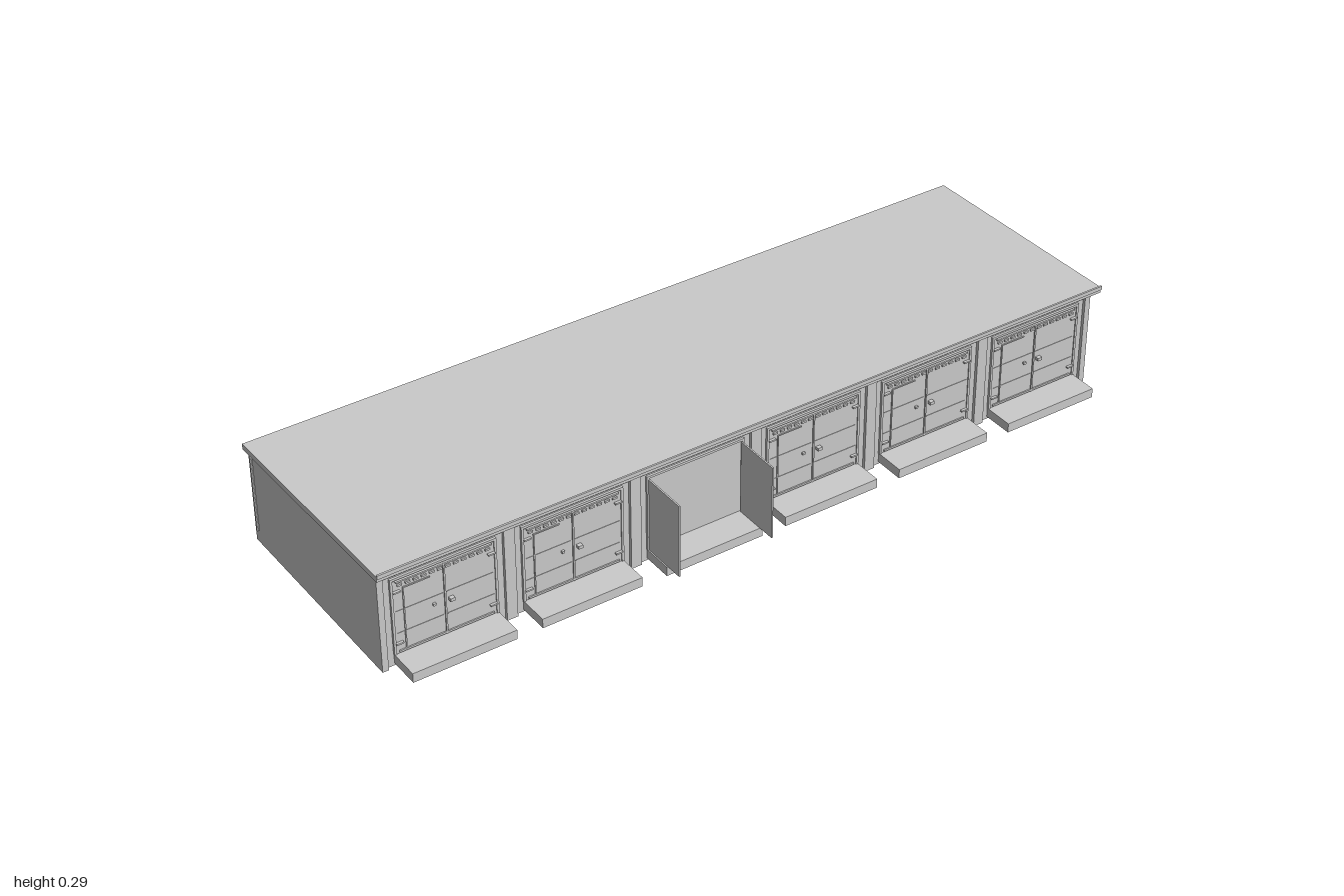
import * as THREE from 'three';

const material = new THREE.MeshStandardMaterial({ color: 0xcccccc, flatShading: true });

// Box given by its limits on each axis
function box(parent, name, x0, x1, y0, y1, z0, z1) {
  const mesh = new THREE.Mesh(new THREE.BoxGeometry(x1 - x0, y1 - y0, z1 - z0), material);
  mesh.position.set((x0 + x1) / 2, (y0 + y1) / 2, (z0 + z1) / 2);
  mesh.name = name;
  parent.add(mesh);
  return mesh;
}

// Side profile of [z, y] points extruded along x
function profile(parent, name, points, x0, x1) {
  const shape = new THREE.Shape(points.map(([z, y]) => new THREE.Vector2(-z, y)));
  const geometry = new THREE.ExtrudeGeometry(shape, { depth: x1 - x0, bevelEnabled: false });
  geometry.rotateY(Math.PI / 2).translate(x0, 0, 0);
  const mesh = new THREE.Mesh(geometry, material);
  mesh.name = name;
  parent.add(mesh);
}

// Closed pair of door leaves with vent, hinges, handle and wicket outline
function closedDoor() {
  const door = new THREE.Group();
  door.name = 'closedDoor';
  for (const s of [-1, 1]) {
    const a = s < 0 ? -0.127 : 0.001;
    const b = s < 0 ? -0.001 : 0.127;
    box(door, 'doorLeaf', a, b, 0.031, 0.228, 0.226, 0.2305);
    for (const y of [0.06, 0.2]) {
      box(door, 'hinge', s * 0.119 - 0.009, s * 0.119 + 0.009, y - 0.002, y + 0.002, 0.23, 0.237);
    }
    for (const y of [0.085, 0.145]) box(door, 'panelRib', a + 0.004, b - 0.004, y, y + 0.0015, 0.23, 0.2315);
  }
  box(door, 'centreStrip', -0.002, 0.002, 0.033, 0.226, 0.23, 0.234);
  box(door, 'wicketSide', -0.103, -0.1, 0.04, 0.206, 0.23, 0.233);
  box(door, 'wicketTop', -0.103, -0.035, 0.203, 0.206, 0.23, 0.233);
  box(door, 'handle', 0.008, 0.02, 0.121, 0.129, 0.23, 0.241);
  box(door, 'lock', -0.032, -0.025, 0.123, 0.129, 0.23, 0.236);
  box(door, 'bottomRail', -0.12, 0.12, 0.034, 0.039, 0.23, 0.234);
  // Ventilation slots above the leaves
  box(door, 'ventRail', -0.12, 0.12, 0.224, 0.228, 0.23, 0.235);
  for (let i = 0; i < 12; i++) {
    const x = -0.11 + i * 0.02;
    box(door, 'ventSlat', x - 0.006, x + 0.006, 0.213, 0.218, 0.23, 0.2345);
  }
  return door;
}

export function createModel() {
  const model = new THREE.Group();
  model.name = 'garageRow';

  // Hollow shell, open underneath
  for (const s of [-1, 1]) {
    const x = s < 0 ? -0.99 : 0.985;
    profile(model, 'sideWall', [[0.229, 0], [0.229, 0.266], [-0.341, 0.254], [-0.341, 0]], x, x + 0.005);
  }
  box(model, 'frontWall', -0.988, 0.988, 0, 0.266, 0.222, 0.227);
  box(model, 'backWall', -0.988, 0.988, 0, 0.254, -0.341, -0.336);
  box(model, 'backPlinth', -0.99, 0.99, 0, 0.05, -0.345, -0.34);

  // Sloping roof with a raised front lip
  profile(model, 'roof', [[0.258, 0.267], [0.258, 0.282], [-0.352, 0.268], [-0.352, 0.253]], -1, 1);
  box(model, 'roofLip', -1, 1, 0.277, 0.287, 0.257, 0.262);

  // Front posts and lintel
  for (let i = 0; i < 7; i++) {
    const x = (i - 3) * 0.3295;
    const a = i === 0 ? -0.99 : x - 0.014;
    const b = i === 6 ? 0.99 : x + 0.014;
    box(model, 'frontPost', a, b, 0, 0.266, 0.225, 0.235);
  }
  box(model, 'lintel', -0.985, 0.985, 0.242, 0.266, 0.225, 0.23);

  // Six bays, the third one standing open
  for (let i = 0; i < 6; i++) {
    const bay = new THREE.Group();
    bay.name = 'bay';
    bay.position.x = (i - 2.5) * 0.3295;
    model.add(bay);
    box(bay, 'ramp', -0.132, 0.132, 0.006, 0.031, 0.226, 0.308);
    for (const s of [-1, 1]) box(bay, 'frameSide', s * 0.13 - 0.003, s * 0.13 + 0.003, 0.031, 0.237, 0.225, 0.233);
    box(bay, 'frameTop', -0.133, 0.133, 0.231, 0.237, 0.225, 0.233);
    if (i !== 2) {
      bay.add(closedDoor());
    } else {
      for (const s of [-1, 1]) {
        box(bay, 'openDoorLeaf', s * 0.127 - 0.002, s * 0.127 + 0.002, 0.031, 0.228, 0.23, 0.353);
      }
    }
  }

  // Downpipes near the rear corners
  for (const s of [-1, 1]) {
    const pipe = new THREE.Mesh(new THREE.CylinderGeometry(0.0038, 0.0038, 0.219, 8), material);
    pipe.name = 'downpipe';
    pipe.position.set(s * 0.994, 0.1465, -0.328);
    model.add(pipe);
  }
  return model;
}
